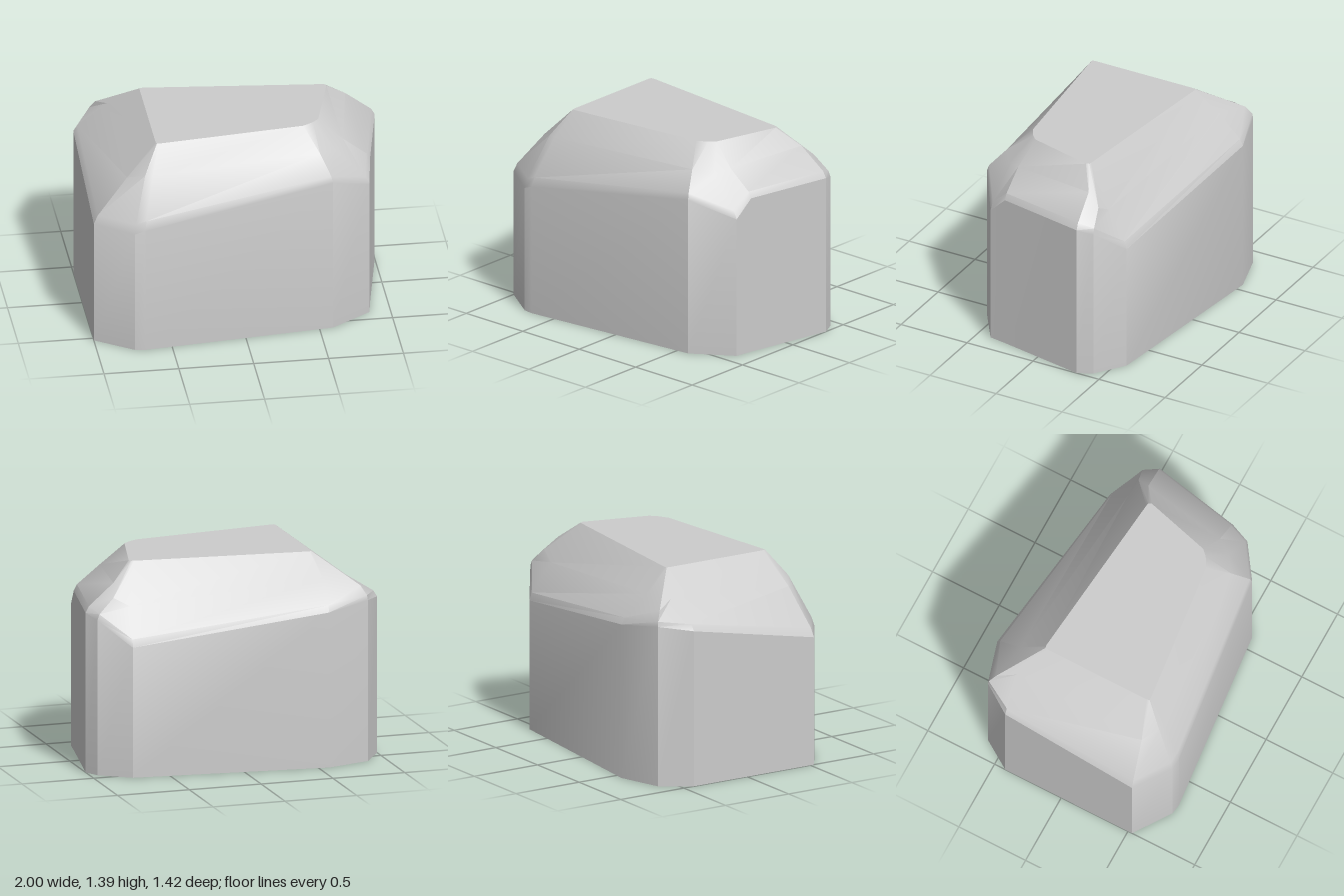
import * as THREE from 'three';
import { toCreasedNormals } from 'three/addons/utils/BufferGeometryUtils.js';

const TOP = 1.39;

// One row per corner of the rock: wall x, z, shoulder height | slope x, z, y | top x, z
const CORNERS = [
  [-1.0, -0.42, 1.09, -0.77, -0.45, 1.24, -0.57, -0.33],
  [-0.87, -0.62, 1.12, -0.83, -0.58, 1.19, -0.565, -0.35],
  [-0.57, -0.71, 1.08, -0.59, -0.52, 1.24, -0.55, -0.355],
  [0.75, -0.57, 0.91, 0.72, -0.42, 1.13, 0.63, -0.235],
  [0.95, -0.43, 1.08, 0.83, -0.4, 1.19, 0.65, -0.23],
  [1.0, -0.33, 1.11, 0.8, -0.31, 1.27, 0.66, -0.21],
  [0.88, 0.28, 1.11, 0.7, 0.28, 1.25, 0.54, 0.24],
  [0.86, 0.4, 0.99, 0.64, 0.38, 1.22, 0.5, 0.28],
  [0.59, 0.58, 1.11, 0.52, 0.46, 1.25, 0.43, 0.32],
  [-0.68, 0.71, 0.92, -0.61, 0.56, 1.22, -0.55, 0.43],
  [-0.75, 0.7, 0.89, -0.66, 0.55, 1.22, -0.565, 0.43],
  [-1.0, 0.53, 0.9, -0.77, 0.48, 1.18, -0.57, 0.41],
];

// Stacked cross-sections: base, wall top, small bevel, slope, top
function makeRings() {
  const v = (x, y, z) => new THREE.Vector3(x, y, z);
  const shoulder = CORNERS.map(([x, z, y]) => v(x, y, z));
  const slope = CORNERS.map(([, , , x, z, y]) => v(x, y, z));
  return [
    shoulder.map((p) => v(p.x, 0, p.z)),
    shoulder.map((p) => v(p.x, p.y - 0.025, p.z)),
    shoulder.map((p, i) => p.clone().lerp(slope[i], 0.12)),
    slope,
    CORNERS.map((c) => v(c[6], TOP, c[7])),
  ];
}

function makeRockGeometry() {
  const rings = makeRings();
  const count = CORNERS.length;
  const points = [];
  const centre = (ring) => ring.reduce((sum, p) => sum.add(p), new THREE.Vector3()).divideScalar(count);
  const first = rings[0];
  const last = rings[rings.length - 1];
  const baseCentre = centre(first);
  const topCentre = centre(last);

  for (let i = 0; i < count; i++) {
    const j = (i + 1) % count;
    // sides
    for (let r = 0; r < rings.length - 1; r++) {
      const low = rings[r];
      const up = rings[r + 1];
      points.push(low[j], low[i], up[i], low[j], up[i], up[j]);
    }
    // flat caps
    points.push(baseCentre, first[i], first[j]);
    points.push(topCentre, last[j], last[i]);
  }
  return toCreasedNormals(new THREE.BufferGeometry().setFromPoints(points), 0.45);
}

export function createModel() {
  const model = new THREE.Group();
  model.name = 'rock';
  const boulder = new THREE.Mesh(makeRockGeometry(), new THREE.MeshStandardMaterial({ color: 0xcccccc }));
  boulder.name = 'boulder';
  model.add(boulder);
  return model;
}
